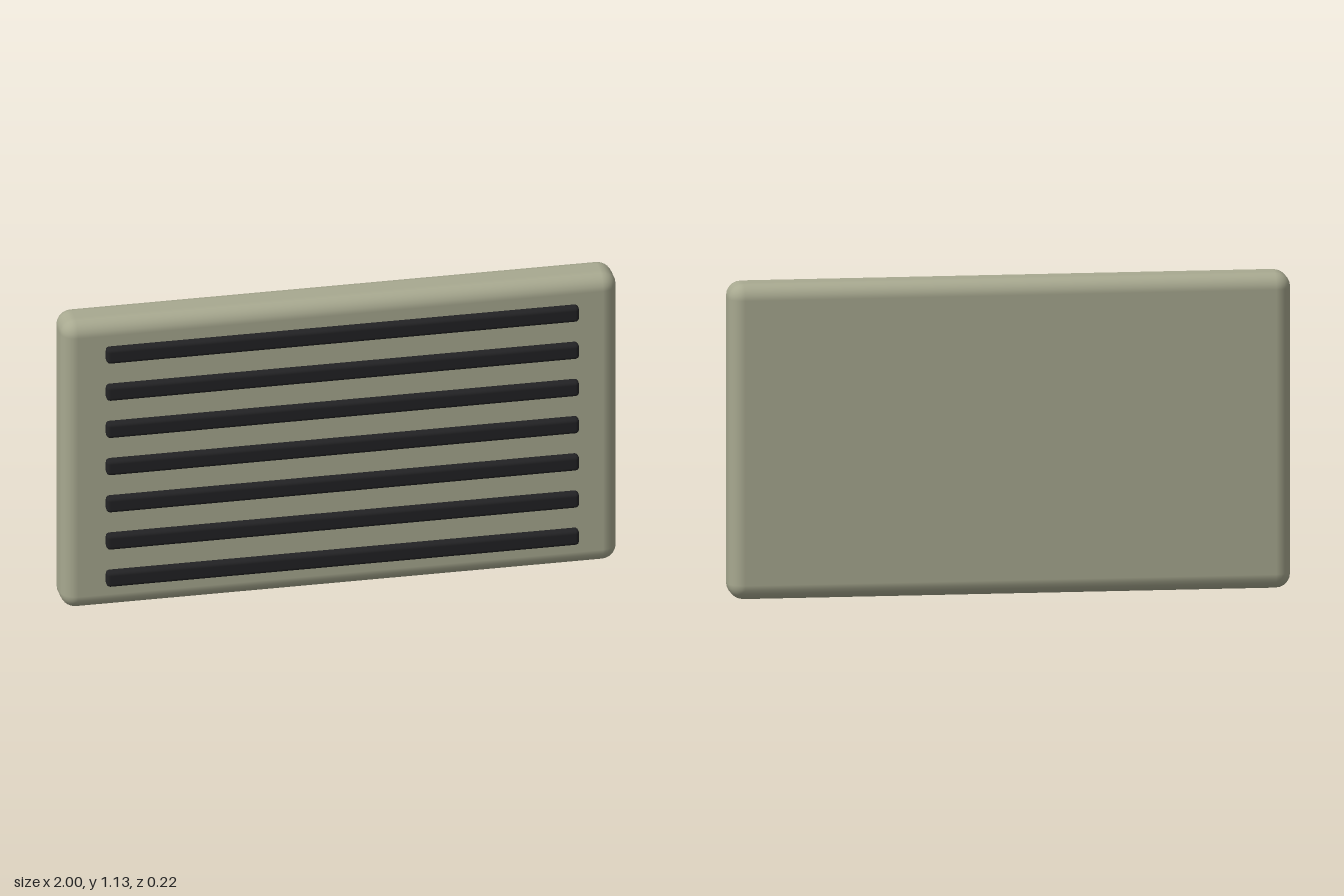
import * as THREE from 'three';
import { RoundedBoxGeometry } from 'three/addons/geometries/RoundedBoxGeometry.js';

export function createModel() {
  const model = new THREE.Group();
  model.name = 'ventGrille';

  const panelPaint = new THREE.MeshStandardMaterial({ name: 'sage grey', color: 0xa8a990 });
  const slatPaint = new THREE.MeshStandardMaterial({ name: 'charcoal', color: 0x222224 });

  // Rounded backing panel
  const height = 1.13;
  const panel = new THREE.Mesh(new RoundedBoxGeometry(2, height, 0.167, 3, 0.056), panelPaint);
  panel.name = 'panel';
  panel.position.set(0, height / 2, -0.0235);
  model.add(panel);

  // Seven slats floating just in front of the panel
  const slats = new THREE.Group();
  slats.name = 'slats';
  const slatGeometry = new RoundedBoxGeometry(1.7, 0.059, 0.039, 2, 0.0135);
  const count = 7;
  const pitch = 0.1465;
  for (let i = 0; i < count; i++) {
    const slat = new THREE.Mesh(slatGeometry, slatPaint);
    slat.name = `slat${i + 1}`;
    slat.position.set(0, 0.135 + i * pitch, 0.0895);
    slats.add(slat);
  }
  model.add(slats);

  return model;
}
